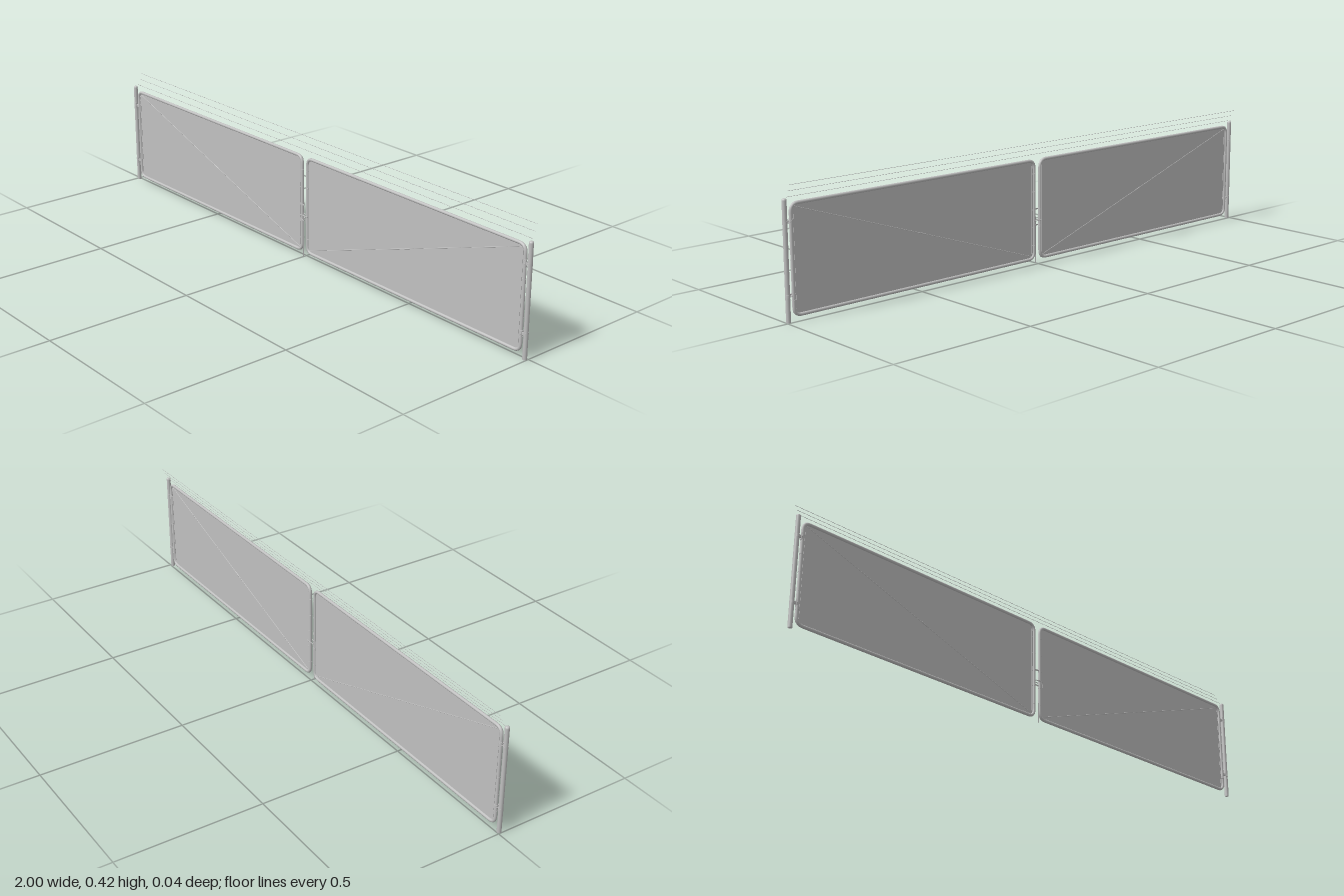
import * as THREE from 'three';

const V = (x, y, z) => new THREE.Vector3(x, y, z);

const steel = new THREE.MeshStandardMaterial({ color: 0xc0c0c0 });
steel.name = 'galvanised steel';
const meshGrey = new THREE.MeshStandardMaterial({ color: 0xc0c0c0, side: THREE.DoubleSide });
meshGrey.name = 'mesh grey';

const Z = 0.0065; // depth of the gate leaves
const POST_Z = 0.0075;
const POST_X = 0.9925;
const LEAF_X = 0.493;
const HALF_W = 0.4795; // frame centre line
const LOW = 0.0185, HIGH = 0.3545;
const CORNER = 0.025;

function add(parent, name, geometry, material, x = 0, y = 0, z = 0) {
  const mesh = new THREE.Mesh(geometry, material);
  mesh.name = name;
  mesh.position.set(x, y, z);
  parent.add(mesh);
  return mesh;
}

// Straight round bar between two points
function bar(parent, name, a, b, radius, material, sides = 8) {
  const mesh = add(parent, name, new THREE.CylinderGeometry(radius, radius, a.distanceTo(b), sides), material);
  mesh.position.copy(a).lerp(b, 0.5);
  mesh.quaternion.setFromUnitVectors(V(0, 1, 0), b.clone().sub(a).normalize());
  return mesh;
}

// Closed tube with bent corners
function frameGeometry() {
  const path = new THREE.CurvePath();
  const corners = [V(-HALF_W, LOW, 0), V(HALF_W, LOW, 0), V(HALF_W, HIGH, 0), V(-HALF_W, HIGH, 0)];
  corners.forEach((c, i) => {
    const next = corners[(i + 1) % 4], after = corners[(i + 2) % 4];
    const d = next.clone().sub(c).normalize(), e = after.clone().sub(next).normalize();
    const end = next.clone().addScaledVector(d, -CORNER);
    path.add(new THREE.LineCurve3(c.clone().addScaledVector(d, CORNER), end));
    path.add(new THREE.QuadraticBezierCurve3(end, next, next.clone().addScaledVector(e, CORNER)));
  });
  return new THREE.TubeGeometry(path, 300, 0.0055, 10, true);
}

// Flat infill sheet that follows the frame centre line
function infillGeometry() {
  const w = HALF_W, r = CORNER, s = new THREE.Shape();
  s.moveTo(-w + r, LOW).lineTo(w - r, LOW).quadraticCurveTo(w, LOW, w, LOW + r);
  s.lineTo(w, HIGH - r).quadraticCurveTo(w, HIGH, w - r, HIGH);
  s.lineTo(-w + r, HIGH).quadraticCurveTo(-w, HIGH, -w, HIGH - r);
  s.lineTo(-w, LOW + r).quadraticCurveTo(-w, LOW, -w + r, LOW);
  return new THREE.ShapeGeometry(s, 6);
}

function gateLeaf(side, frame, infill) {
  const leaf = new THREE.Group();
  leaf.name = side > 0 ? 'leftLeaf' : 'rightLeaf';
  leaf.position.set(side * LEAF_X, 0, Z);
  add(leaf, 'frame', frame, steel);
  add(leaf, 'meshInfill', infill, meshGrey);

  // Diagonal brace rod with a turnbuckle
  const outer = V(side * 0.472, 0.347, 0), inner = V(-side * 0.472, 0.026, 0);
  bar(leaf, 'braceRod', outer, inner, 0.0011, steel);
  const mid = outer.clone().lerp(inner, 0.5), dir = inner.clone().sub(outer).normalize();
  bar(leaf, 'turnbuckle', mid.clone().addScaledVector(dir, -0.012), mid.clone().addScaledVector(dir, 0.012), 0.002, steel);

  // Tension bars and their clips on both uprights
  for (const s of [-1, 1]) {
    add(leaf, 'tensionBar', new THREE.BoxGeometry(0.002, 0.3, 0.002), steel, s * (HALF_W - 0.0095), (LOW + HIGH) / 2, 0);
    for (let i = 0; i < 5; i++) {
      add(leaf, 'tensionClip', new THREE.CylinderGeometry(0.0061, 0.0061, 0.0025, 10), steel, s * HALF_W, 0.065 + i * 0.061, 0);
    }
  }
  return leaf;
}

function hinge(parent, side, y) {
  const group = new THREE.Group();
  group.name = 'hinge';
  group.position.set(side * POST_X, y, POST_Z);
  add(group, 'postCollar', new THREE.CylinderGeometry(0.0082, 0.0082, 0.01, 14), steel).scale.x = 0.91;
  add(group, 'frameCollar', new THREE.CylinderGeometry(0.0066, 0.0066, 0.012, 12), steel, -side * 0.02, 0, -0.001);
  add(group, 'hingePlate', new THREE.BoxGeometry(0.018, 0.008, 0.003), steel, -side * 0.011, 0, 0.004);
  add(group, 'hingePin', new THREE.CylinderGeometry(0.0015, 0.0015, 0.024, 8), steel, -side * 0.01, 0, 0.0085);
  bar(group, 'hingeBolt', V(-side * 0.012, 0, -0.0085), V(-side * 0.012, 0, 0.0115), 0.0014, steel);
  parent.add(group);
}

export function createModel() {
  const gate = new THREE.Group();
  gate.name = 'doubleGate';
  const frame = frameGeometry(), infill = infillGeometry();

  // Post profile with a shallow rounded cap
  const post = new THREE.LatheGeometry([
    [0, 0], [0.0073, 0], [0.0073, 0.364], [0.0075, 0.364], [0.0075, 0.3675], [0.0065, 0.3705], [0.004, 0.372], [0, 0.3723],
  ].map(([x, y]) => new THREE.Vector2(x, y)), 18);

  for (const side of [-1, 1]) {
    gate.add(gateLeaf(side, frame, infill));
    add(gate, side > 0 ? 'leftPost' : 'rightPost', post, steel, side * POST_X, 0, POST_Z);
    hinge(gate, side, 0.30);
    hinge(gate, side, 0.081);
  }

  // Strands of wire leaning back above the gate
  for (let i = 0; i < 3; i++) {
    const y = 0.377 + i * 0.0195, z = -0.0005 - i * 0.0093;
    bar(gate, 'topWire', V(-0.99, y, z), V(0.99, y, z), 0.0006, steel, 5);
  }

  // Drop rod with a bent handle
  const latch = new THREE.Group();
  latch.name = 'latch';
  bar(latch, 'dropRod', V(0, 0, 0.0138), V(0, 0.16, 0.0138), 0.0014, steel);
  const handle = new THREE.CatmullRomCurve3([V(0, 0.152, 0.0138), V(0.007, 0.15, 0.015), V(0.014, 0.14, 0.0175), V(0.016, 0.127, 0.019)]);
  add(latch, 'dropRodHandle', new THREE.TubeGeometry(handle, 16, 0.0012, 8), steel);

  // Fork latch bridging the two leaves
  for (const y of [0.132, 0.187]) {
    add(latch, 'latchCollar', new THREE.CylinderGeometry(0.0064, 0.0064, 0.006, 12), steel, -0.0135, y, Z);
    add(latch, 'latchPlate', new THREE.BoxGeometry(0.016, 0.004, 0.0025), steel, -0.005, y, 0.0125);
  }
  for (const z of [0, 0.0138]) {
    bar(latch, 'latchFork', V(-0.014, 0.149, z), V(0.021, 0.149, z), 0.0014, steel);
  }
  gate.add(latch);
  return gate;
}
